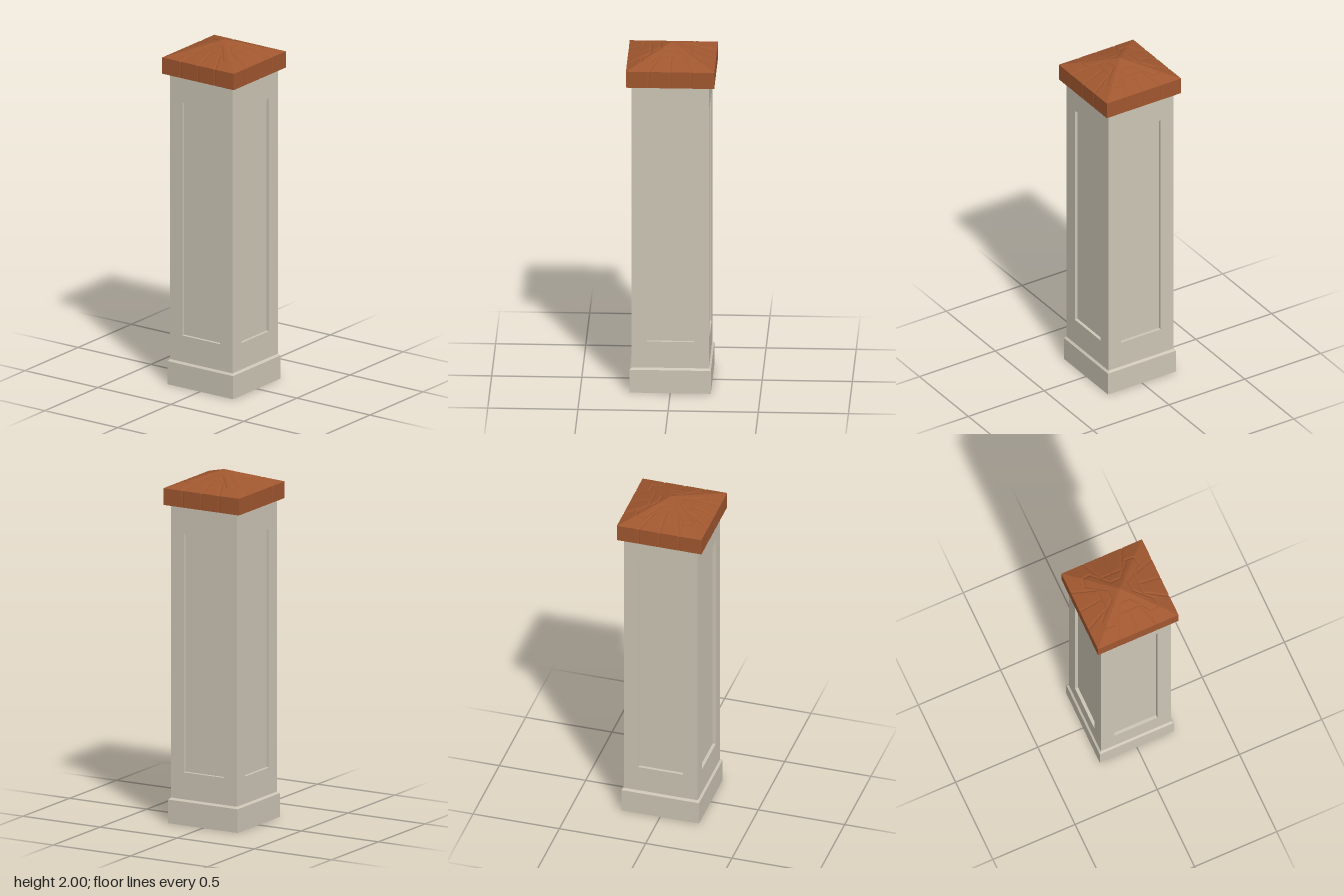
import * as THREE from 'three';

export function createModel() {
  const group = new THREE.Group();
  const stone = new THREE.MeshStandardMaterial({ color: 0xcdc6b6 });
  stone.name = 'pale stone';
  const clay = new THREE.MeshStandardMaterial({ color: 0xa0572f });
  clay.name = 'terracotta';

  const add = (name, geometry, material, y = 0, parent = group) => {
    const mesh = new THREE.Mesh(geometry, material);
    mesh.name = name;
    mesh.position.y = y;
    parent.add(mesh);
    return mesh;
  };

  // Plinth with a narrow chamfer on top
  add('plinth', new THREE.BoxGeometry(0.45, 0.135, 0.45), stone, 0.0675);
  const chamfer = new THREE.CylinderGeometry(0.213 * Math.SQRT2, 0.225 * Math.SQRT2, 0.012, 4, 1, true)
    .rotateY(Math.PI / 4).toNonIndexed();
  chamfer.computeVertexNormals();
  add('plinthChamfer', chamfer, stone, 0.141);

  // Shaft: a core whose faces form the sunken panels, framed on four sides
  const half = 0.214, depth = 0.018, core = half - depth;
  add('shaftCore', new THREE.BoxGeometry(core * 2, 1.685, core * 2), stone, 0.9775);
  const rect = (target, w, y0, y1) => target
    .moveTo(-w, y0).lineTo(w, y0).lineTo(w, y1).lineTo(-w, y1).closePath();
  for (let i = 0; i < 4; i++) {
    const shape = rect(new THREE.Shape(), i % 2 ? core : half, 0.135, 1.82);
    shape.holes.push(rect(new THREE.Path(), 0.13, 0.3, 1.66));
    const frame = new THREE.ExtrudeGeometry(shape, { depth, bevelEnabled: false });
    frame.translate(0, 0, core).rotateY(i * Math.PI / 2);
    add('panelFrame', frame, stone);
  }

  // Joints between the roof slabs for one side, repeated around the cap
  const R = 0.245, eave = 1.91, bottom = 1.815;
  const sideJoints = [
    [0, 0.25, 0, 0.118], [-0.122, 0.25, -0.06, 0.115], [0.118, 0.25, 0.062, 0.115],
    [-0.06, 0.115, 0.06, 0.115], [-0.03, 0.064, 0.03, 0.064],
    [0.03, 0.064, 0.11, 0.16], [-0.03, 0.064, -0.11, 0.16],
    [0.105, 0.163, 0.157, 0.158], [-0.105, 0.163, -0.157, 0.158],
  ];
  const joints = [];
  for (let i = 0; i < 4; i++) {
    const c = Math.round(Math.cos(i * Math.PI / 2)), s = Math.round(Math.sin(i * Math.PI / 2));
    for (const [a, b, d, e] of sideJoints) {
      joints.push([a * c + b * s, b * c - a * s, d * c + e * s, e * c - d * s]);
    }
  }
  const groove = (x, z) => {
    let nearest = 1;
    for (const [ax, az, bx, bz] of joints) {
      const dx = bx - ax, dz = bz - az;
      const t = THREE.MathUtils.clamp(((x - ax) * dx + (z - az) * dz) / (dx * dx + dz * dz), 0, 1);
      nearest = Math.min(nearest, Math.hypot(x - ax - t * dx, z - az - t * dz));
    }
    return 0.005 * (1 - THREE.MathUtils.smoothstep(nearest, 0.001, 0.006));
  };

  // Cap: a dense box whose upper side rises to a grooved pyramid
  const cap = new THREE.BoxGeometry(R * 2, eave - bottom, R * 2, 98, 1, 98);
  const p = cap.attributes.position;
  for (let i = 0; i < p.count; i++) {
    const x = p.getX(i), z = p.getZ(i), reach = Math.max(Math.abs(x), Math.abs(z));
    const cut = groove(x, z);
    if (p.getY(i) > 0) p.setY(i, eave + 0.09 * (1 - reach / R) - cut);
    else p.setY(i, bottom);
    // Notch the rim where joints meet it
    if (reach > R - 0.001) {
      const k = 1 - cut * 0.5 / R;
      p.setX(i, x * k);
      p.setZ(i, z * k);
    }
  }
  cap.computeVertexNormals();
  add('roofCap', cap, clay);

  return group;
}
